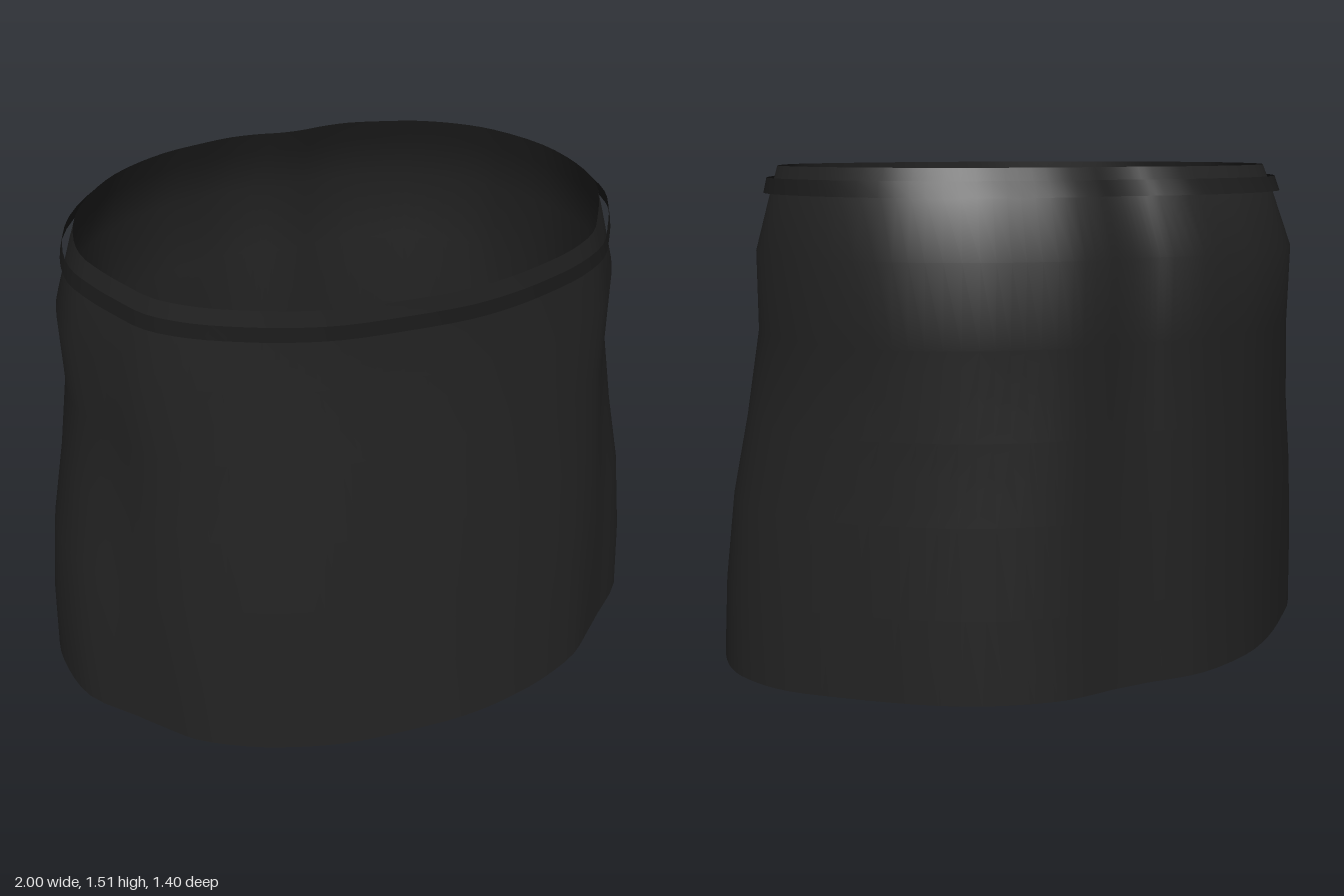
import * as THREE from 'three';

// Half outlines from centre front round the left side to centre back,
// as fractions of half width (x) and of front or back depth (z).
const WAIST = [
  [0, 1], [0.22, 0.99], [0.38, 0.945], [0.52, 0.88], [0.68, 0.78], [0.81, 0.645], [0.89, 0.47], [0.95, 0.31],
  [1, 0.12], [1, -0.12], [0.945, -0.4], [0.81, -0.68], [0.69, -0.82], [0.54, -0.93], [0.4, -0.985],
  [0.25, -1.025], [0.13, -1.02], [0.06, -1.005], [0, -1],
];
const HEM = [
  [0, 1], [0.2, 0.99], [0.36, 0.945], [0.5, 0.88], [0.65, 0.77], [0.74, 0.65], [0.81, 0.55], [0.94, 0.36],
  [0.99, 0.15], [1, -0.03], [0.97, -0.2], [0.91, -0.36], [0.79, -0.54], [0.62, -0.76], [0.46, -0.91],
  [0.25, -1.01], [0.13, -1.01], [0.06, -1.0], [0, -1],
];

// One horizontal ring; flare blends the waist outline into the hem outline.
function makeRing({ y, w, front, back, flare = 0 }) {
  const half = WAIST.map(([x, z], i) => {
    const px = THREE.MathUtils.lerp(x, HEM[i][0], flare);
    const pz = THREE.MathUtils.lerp(z, HEM[i][1], flare);
    return new THREE.Vector3(px * w, y, pz * (pz > 0 ? front : back));
  });
  const mirrored = half.slice(1, -1).reverse().map((p) => new THREE.Vector3(-p.x, y, p.z));
  return new THREE.CatmullRomCurve3([...half, ...mirrored], true).getPoints(108).slice(0, -1);
}

// Skin a stack of rings into an open tube with smooth normals.
function loft(sections) {
  const rings = sections.map(makeRing);
  const n = rings[0].length;
  const index = [];
  for (let j = 0; j < rings.length - 1; j++) {
    for (let i = 0; i < n; i++) {
      const a = j * n + i;
      const b = j * n + ((i + 1) % n);
      index.push(a, b, a + n, b, b + n, a + n);
    }
  }
  const geometry = new THREE.BufferGeometry().setFromPoints(rings.flat());
  geometry.setIndex(index);
  geometry.computeVertexNormals();
  return geometry;
}

export function createModel() {
  const group = new THREE.Group();
  group.name = 'skirt';

  const fabric = new THREE.MeshStandardMaterial({ color: 0x222222, side: THREE.DoubleSide });
  fabric.name = 'charcoal fabric';
  const trim = new THREE.MeshStandardMaterial({ color: 0x1b1b1b, side: THREE.DoubleSide });
  trim.name = 'black trim';

  // Skirt body, hem to waist
  const body = new THREE.Mesh(loft([
    { y: 0, w: 1, front: 0.705, back: 0.675, flare: 1 },
    { y: 0.25, w: 0.987, front: 0.68, back: 0.673, flare: 0.88 },
    { y: 0.52, w: 0.955, front: 0.655, back: 0.672, flare: 0.65 },
    { y: 0.76, w: 0.905, front: 0.632, back: 0.67, flare: 0.35 },
    { y: 1.02, w: 0.862, front: 0.606, back: 0.67 },
    { y: 1.26, w: 0.864, front: 0.583, back: 0.68 },
    { y: 1.43, w: 0.815, front: 0.58, back: 0.605 },
    { y: 1.51, w: 0.79, front: 0.58, back: 0.565 },
  ]), fabric);
  body.name = 'skirtBody';
  group.add(body);

  // Loose narrow belt just outside the waist
  const belt = new THREE.Mesh(loft([
    { y: 1.43, w: 0.835, front: 0.605, back: 0.63 },
    { y: 1.475, w: 0.824, front: 0.605, back: 0.605 },
  ]), trim);
  belt.name = 'waistBelt';
  group.add(belt);

  return group;
}
